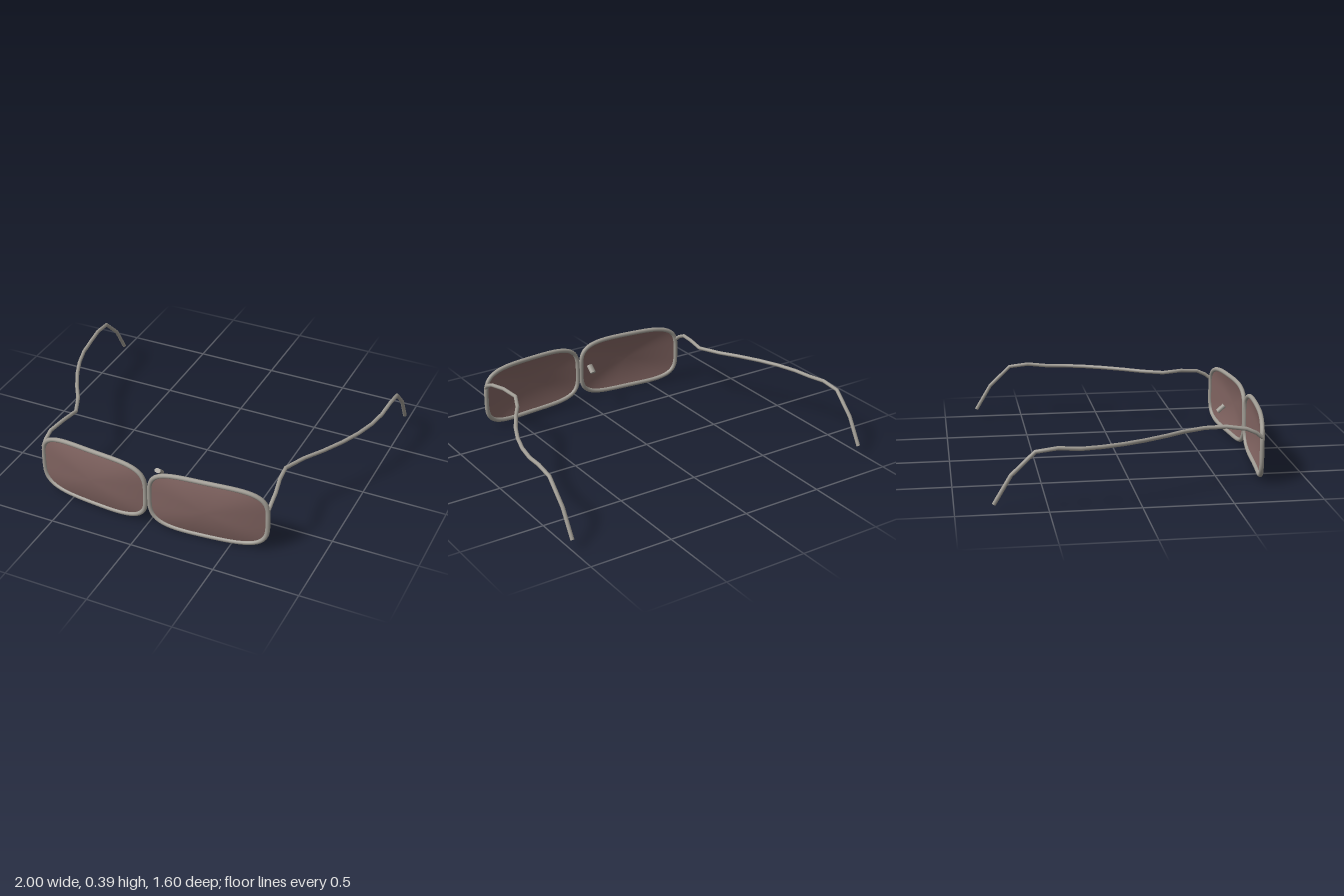
import * as THREE from 'three';

// Curve through points with straight runs; one tube segment per run
class Polyline extends THREE.Curve {
  constructor(points) {
    super();
    this.points = points;
  }
  getPoint(t, target = new THREE.Vector3()) {
    const n = this.points.length - 1;
    const i = Math.min(Math.floor(t * n + 1e-9), n - 1);
    return target.lerpVectors(this.points[i], this.points[i + 1], t * n - i);
  }
  getUtoTmapping(u) { return u; }
}

const CX = 0.357, CY = 0.194, HALF_W = 0.344, HALF_H = 0.181;
const wrapZ = (x) => 0.786 - 0.065 * Math.pow(Math.abs(x) / 0.7, 1.8);

// Soft rectangular lens outline, scaled by s about its centre
function outline(a, s, side) {
  const power = (v) => Math.sign(v) * Math.pow(Math.abs(v), 2 / 3.9);
  const x = CX + s * HALF_W * power(Math.cos(a));
  const y = CY + s * HALF_H * power(Math.sin(a));
  return new THREE.Vector3(side * x, y, wrapZ(x));
}

class RimCurve extends THREE.Curve {
  constructor(side) {
    super();
    this.side = side;
  }
  getPoint(t) { return outline(t * Math.PI * 2, 1, this.side); }
}

// Domed lens made of concentric rings
function lensGeometry(side) {
  const rings = 8, seg = 64, pos = [], index = [];
  for (let r = 0; r <= rings; r++) {
    const s = r / rings;
    for (let i = 0; i < seg; i++) {
      const p = outline((i / seg) * Math.PI * 2, s, side);
      pos.push(p.x, p.y, p.z + 0.029 * (1 - s * s));
    }
  }
  for (let r = 0; r < rings; r++) {
    for (let i = 0; i < seg; i++) {
      const j = (i + 1) % seg;
      const a = r * seg + i, b = r * seg + j, c = a + seg, d = b + seg;
      const faces = r === 0 ? [a, c, d] : [a, c, d, a, d, b];
      if (side < 0) faces.reverse();
      index.push(...faces);
    }
  }
  const g = new THREE.BufferGeometry();
  g.setAttribute('position', new THREE.Float32BufferAttribute(pos, 3));
  g.setIndex(index);
  g.computeVertexNormals();
  return g;
}

// Temple arm path: x, y, z for the left side
const ARM = [
  [0.703, 0.275, 0.722], [0.705, 0.305, 0.685], [0.704, 0.33, 0.63],
  [0.682, 0.341, 0.52], [0.667, 0.334, 0.4], [0.725, 0.334, 0.27],
  [0.795, 0.334, 0.16], [0.866, 0.334, 0.03], [0.918, 0.334, -0.09],
  [0.955, 0.334, -0.21], [0.975, 0.334, -0.33], [0.985, 0.346, -0.45],
  [0.989, 0.332, -0.57], [0.988, 0.208, -0.7], [0.987, 0.052, -0.793],
];

export function createModel() {
  const metal = new THREE.MeshStandardMaterial({ color: 0x9f9b93 });
  metal.name = 'grey metal';
  const tint = new THREE.MeshStandardMaterial({ color: 0x806360, side: THREE.DoubleSide });
  tint.name = 'brown tinted lens';

  const model = new THREE.Group();
  model.name = 'glasses';
  const add = (name, geometry, material) => {
    const mesh = new THREE.Mesh(geometry, material);
    mesh.name = name;
    model.add(mesh);
    return mesh;
  };

  for (const side of [1, -1]) {
    const label = side > 0 ? 'left' : 'right';
    add(label + 'Lens', lensGeometry(side), tint);
    add(label + 'Rim', new THREE.TubeGeometry(new RimCurve(side), 96, 0.0135, 10, true), metal);

    // Arm with closed ends
    const points = ARM.map(([x, y, z]) => new THREE.Vector3(side * x, y, z));
    const path = new Polyline(points);
    add(label + 'Arm', new THREE.TubeGeometry(path, points.length - 1, 0.0115, 10), metal);
    for (const end of [0, 1]) {
      const cap = add(label + (end ? 'ArmTip' : 'Hinge'), new THREE.CircleGeometry(0.0115, 10), metal);
      const direction = path.getTangentAt(end).multiplyScalar(end ? 1 : -1);
      cap.position.copy(points[end ? points.length - 1 : 0]);
      cap.quaternion.setFromUnitVectors(new THREE.Vector3(0, 0, 1), direction);
    }
  }

  // Small tilted bead behind the bridge
  const bead = add('noseBead', new THREE.CylinderGeometry(0.0135, 0.0135, 0.055, 8), metal);
  bead.scale.x = 1.5;
  bead.rotation.x = 0.85;
  bead.position.set(0, 0.262, 0.637);

  return model;
}
